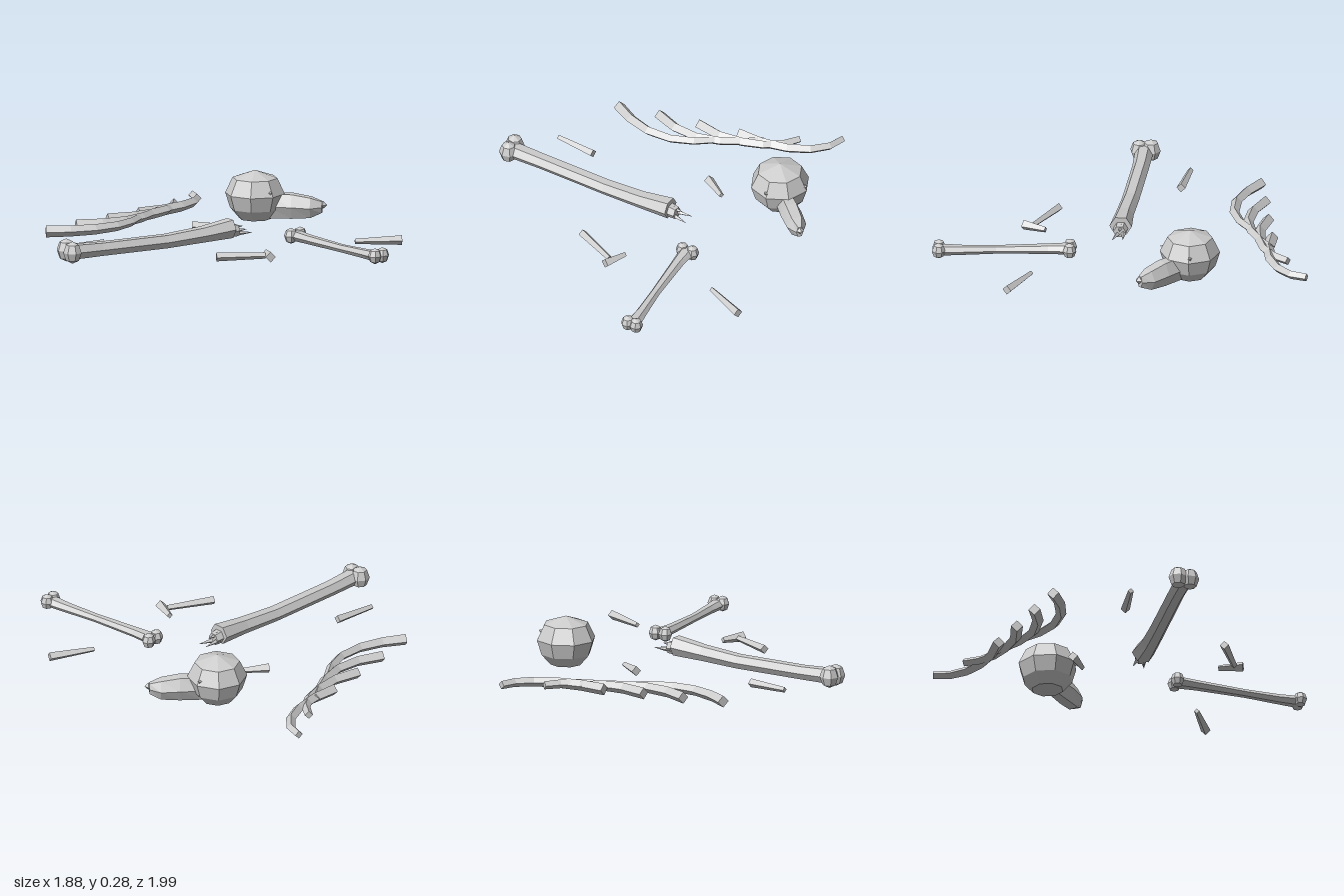
import * as THREE from 'three';

const bone = new THREE.MeshStandardMaterial({ color: 0xcccccc, flatShading: true });
bone.name = 'bone grey';

// Faceted loft: stations are [x, y, z, radius, vertical radius]
function loft(stations, sides) {
  const up = new THREE.Vector3(0, 1, 0);
  const pts = stations.map(s => new THREE.Vector3(s[0], s[1], s[2]));
  const rings = stations.map((s, i) => {
    const t = pts[Math.min(i + 1, pts.length - 1)].clone().sub(pts[Math.max(i - 1, 0)]);
    t.y = 0;
    const side = new THREE.Vector3().crossVectors(up, t.normalize());
    return Array.from({ length: sides }, (_, k) => {
      const a = k / sides * Math.PI * 2;
      return pts[i].clone().addScaledVector(side, Math.cos(a) * s[3])
        .addScaledVector(up, Math.sin(a) * (s[4] ?? s[3]));
    });
  });
  const out = [];
  const tri = (...v) => v.forEach(p => out.push(p.x, p.y, p.z));
  const last = rings.length - 1;
  for (let k = 0; k < sides; k++) {
    const n = (k + 1) % sides;
    for (let i = 0; i < last; i++) {
      const a = rings[i], b = rings[i + 1];
      tri(a[k], a[n], b[n]);
      tri(a[k], b[n], b[k]);
    }
    tri(pts[0], rings[0][n], rings[0][k]);
    tri(pts[last], rings[last][k], rings[last][n]);
  }
  const g = new THREE.BufferGeometry();
  g.setAttribute('position', new THREE.Float32BufferAttribute(out, 3));
  g.computeVertexNormals();
  return g;
}

function add(parent, name, geometry, x = 0, y = 0, z = 0) {
  const m = new THREE.Mesh(geometry, bone);
  m.name = name;
  m.position.set(x, y, z);
  parent.add(m);
  return m;
}

function part(parent, name) {
  const g = new THREE.Group();
  g.name = name;
  parent.add(g);
  return g;
}

// Rounded joint end
function knob(parent, x, y, z, r, ry, turn) {
  const m = add(parent, 'knob', new THREE.SphereGeometry(1, 7, 4), x, y, z);
  m.scale.set(r, ry, r);
  m.rotation.y = turn;
}

export function createModel() {
  const root = new THREE.Group();
  root.name = 'scatteredBones';

  // Skull: local +x is the face direction
  const skull = part(root, 'skull');
  skull.position.set(0.418, 0, -0.392);
  skull.rotation.y = -0.5;
  const profile = [[0, 0.012], [0.085, 0.018], [0.135, 0.075], [0.16, 0.155], [0.12, 0.238], [0, 0.28]]
    .map(p => new THREE.Vector2(...p));
  add(skull, 'cranium', new THREE.LatheGeometry(profile, 8));
  add(skull, 'snout', loft([
    [0.08, 0.09, 0, 0.05, 0.075], [0.2, 0.092, 0, 0.058, 0.075],
    [0.3, 0.087, 0, 0.053, 0.062], [0.36, 0.09, 0, 0.02, 0.035]], 6));
  add(skull, 'nose', new THREE.OctahedronGeometry(0.022), 0.365, 0.102, 0);
  for (const s of [-1, 1]) {
    const eye = add(skull, 'browNub', new THREE.ConeGeometry(0.02, 0.03, 4), 0.1, 0.178, s * 0.108);
    eye.rotation.set(s * 1.2, 0, -0.6);
  }

  // Large broken long bone
  const large = part(root, 'largeBone');
  add(large, 'shaft', loft([
    [-0.9, 0.065, 0.315, 0.05, 0.045], [-0.7, 0.06, 0.268, 0.046, 0.04],
    [-0.3, 0.058, 0.188, 0.047, 0.04], [-0.08, 0.07, 0.147, 0.05, 0.045],
    [0.095, 0.085, 0.108, 0.06, 0.056]], 6));
  knob(large, -0.893, 0.07, 0.277, 0.052, 0.062, 0.3);
  knob(large, -0.88, 0.066, 0.338, 0.05, 0.06, 0.7);
  add(large, 'brokenCore', loft([
    [0.07, 0.075, 0.112, 0.042], [0.135, 0.07, 0.1, 0.034]], 6));
  // Splinters on the broken end
  for (const [z, y, endX, endZ] of [[0.087, 0.062, 0.205, 0.058], [0.112, 0.055, 0.215, 0.115], [0.1, 0.088, 0.17, 0.09]])
    add(large, 'splinter', loft([[0.11, y, z, 0.017], [endX, y, endZ, 0.001]], 4));

  // Small long bone with paired knobs
  const small = part(root, 'smallBone');
  add(small, 'shaft', loft([
    [0.395, 0.06, 0.28, 0.045, 0.03], [0.43, 0.057, 0.4, 0.034, 0.026],
    [0.52, 0.053, 0.66, 0.026, 0.022], [0.585, 0.053, 0.83, 0.031, 0.026],
    [0.625, 0.055, 0.945, 0.042, 0.03]], 6));
  for (const [x, z] of [[0.368, 0.297], [0.425, 0.281], [0.602, 0.952], [0.649, 0.938]])
    knob(small, x, 0.06, z, 0.037, 0.043, 0.4);

  // Row of four curved ribs; points are [x, z]
  const ribs = part(root, 'ribs');
  const paths = [
    [[-0.765, -0.385], [-0.64, -0.348], [-0.505, -0.337], [-0.37, -0.37], [-0.265, -0.44], [-0.19, -0.525]],
    [[-0.56, -0.48], [-0.42, -0.458], [-0.28, -0.478], [-0.165, -0.54], [-0.07, -0.625], [-0.005, -0.7]],
    [[-0.35, -0.568], [-0.2, -0.572], [-0.08, -0.615], [0.02, -0.675], [0.09, -0.755], [0.125, -0.84]],
    [[-0.143, -0.66], [0, -0.688], [0.13, -0.745], [0.225, -0.82], [0.28, -0.91], [0.287, -1]]];
  for (const path of paths)
    add(ribs, 'rib', loft(path.map(([x, z], i) =>
      [x, 0.032 + i * 0.001, z, 0.032 - i * 0.002]), 4));

  // Loose fragments: x, z, radius at each end
  const fragments = part(root, 'fragments');
  for (const [x1, z1, r1, x2, z2, r2] of [
    [0.015, -0.265, 0.027, 0.16, -0.212, 0.014],
    [-0.81, 0.027, 0.015, -0.58, 0.002, 0.024],
    [-0.14, 0.535, 0.024, 0.115, 0.592, 0.016],
    [0.128, 0.64, 0.028, 0.15, 0.51, 0.016],
    [0.69, 0.405, 0.014, 0.935, 0.457, 0.026]])
    add(fragments, 'fragment', loft([[x1, 0.028, z1, r1], [x2, 0.028, z2, r2]], 4));

  return root;
}
